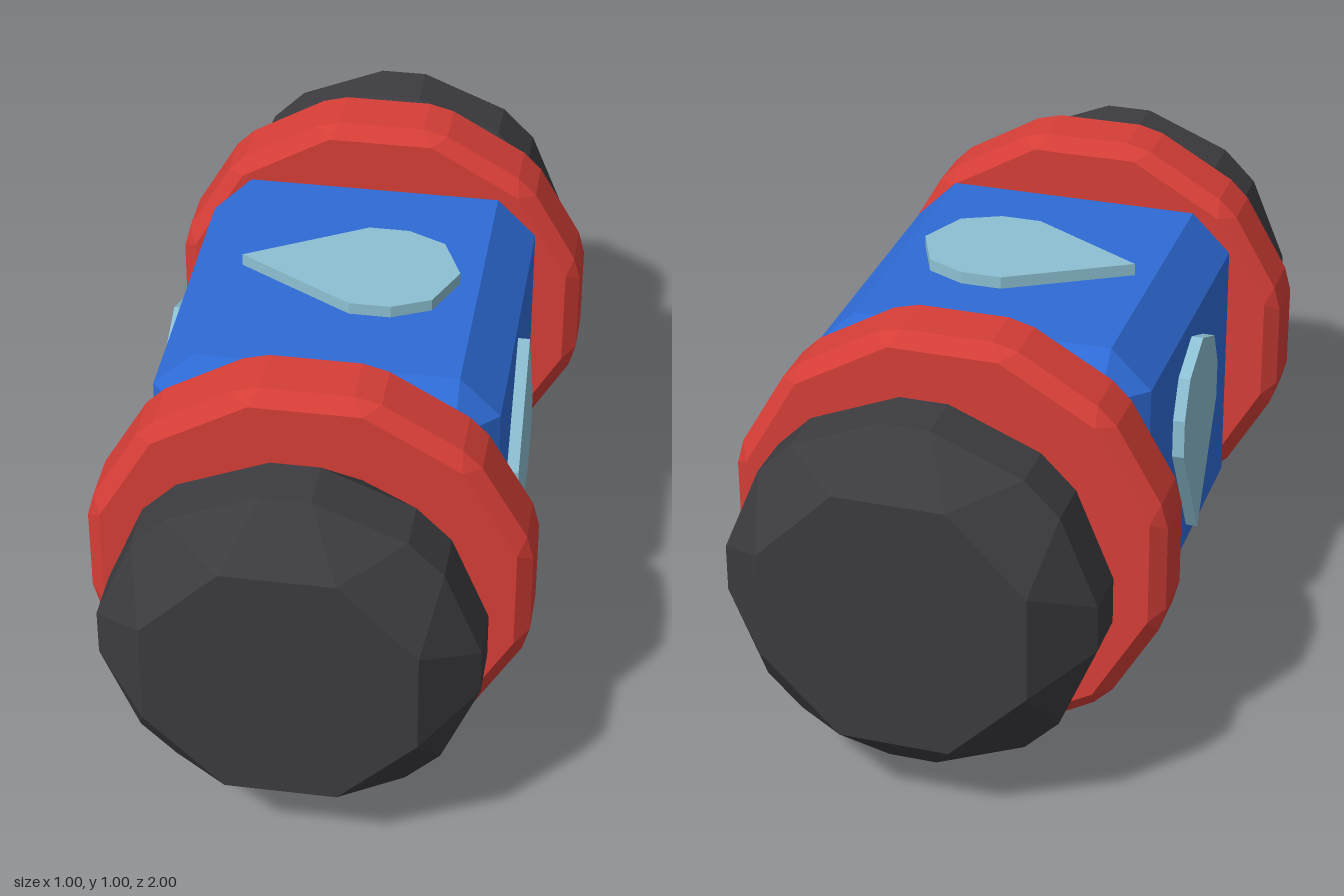
import * as THREE from 'three';
import { ConvexGeometry } from 'three/addons/geometries/ConvexGeometry.js';

const mat = (name, color) => new THREE.MeshStandardMaterial({ name, color, flatShading: true });

// Drum along z whose rims and upright edges are both chamfered:
// each end corner fans out into a pair of corners on the wider middle band.
function chamferedDrum(sides, endRadius, midRadius, spread, halfDepth, halfBand) {
  const pts = [];
  const add = (r, a, z) => pts.push(new THREE.Vector3(r * Math.cos(a), r * Math.sin(a), z));
  for (let i = 0; i < sides; i++) {
    const a = ((i + 0.5) / sides) * Math.PI * 2;
    for (const s of [-1, 1]) {
      add(endRadius, a, s * halfDepth);
      add(midRadius, a - spread, s * halfBand);
      add(midRadius, a + spread, s * halfBand);
    }
  }
  return new ConvexGeometry(pts);
}

// Box with every edge and corner chamfered
function chamferedBox(x, y, z, c) {
  const pts = [];
  for (const sx of [-1, 1]) for (const sy of [-1, 1]) for (const sz of [-1, 1]) {
    pts.push(
      new THREE.Vector3(sx * x, sy * (y - c), sz * (z - c)),
      new THREE.Vector3(sx * (x - c), sy * y, sz * (z - c)),
      new THREE.Vector3(sx * (x - c), sy * (y - c), sz * z));
  }
  return new ConvexGeometry(pts);
}

// Faceted droplet plate, tip up, facing +x
function dropletGeometry() {
  const half = [[0.157, -0.02], [0.157, -0.115], [0.115, -0.205]];
  const outline = [
    [0, 0.255],
    ...half.map(([x, y]) => [-x, y]),
    [0, -0.255],
    ...half.slice().reverse(),
  ].map(([x, y]) => new THREE.Vector2(x, y));
  const geo = new THREE.ExtrudeGeometry(new THREE.Shape(outline), { depth: 0.04, bevelEnabled: false });
  return geo.rotateY(Math.PI / 2).translate(0.382, 0, 0);
}

export function createModel() {
  const blue = mat('blue body', 0x2e6bd6);
  const red = mat('red ring', 0xd63e37);
  const black = mat('black rubber', 0x3c3c40);
  const pale = mat('pale blue', 0x8cc0d3);

  const model = new THREE.Group();
  model.name = 'canister';
  const add = (name, geo, material, z = 0) => {
    const mesh = new THREE.Mesh(geo, material);
    mesh.name = name;
    mesh.position.set(0, 0.5, z);
    model.add(mesh);
    return mesh;
  };

  add('body', chamferedBox(0.394, 0.393, 0.458, 0.093), blue);

  // Ring and end cap at both ends
  const ringGeo = chamferedDrum(12, 0.483, 0.51, 0.06, 0.09, 0.06);
  const capGeo = chamferedDrum(8, 0.325, 0.424, 0.263, 0.181, 0.06);
  for (const [end, s] of [['front', 1], ['back', -1]]) {
    add(end + 'Ring', ringGeo, red, s * 0.546);
    add(end + 'Cap', capGeo, black, s * 0.819);
  }

  // Droplets turned round the long axis, one per side
  const drop = dropletGeometry();
  ['left', 'top', 'right', 'bottom'].forEach((side, i) => {
    add(side + 'Droplet', drop, pale).rotation.z = (i * Math.PI) / 2;
  });

  return model;
}
